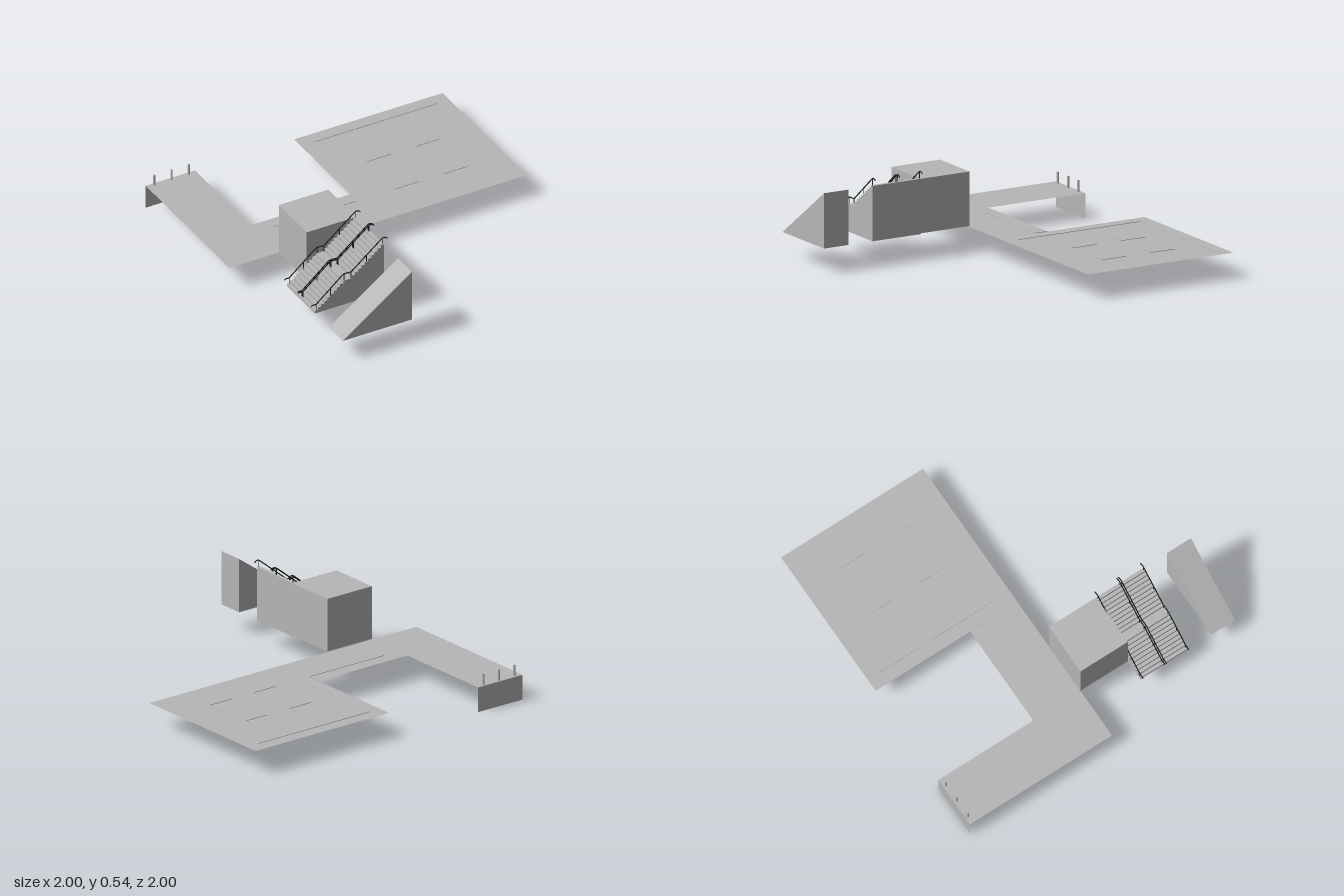
import * as THREE from 'three';

const grey = new THREE.MeshStandardMaterial({ color: 0xb6b6b6, side: THREE.DoubleSide });
grey.name = 'concreteGrey';
const dark = new THREE.MeshStandardMaterial({ color: 0x1c221c });
dark.name = 'railDark';

const GROUND = 0.155, TOP = 0.49;
const FOOT = -0.8, HEAD = -0.333;

function add(parent, name, geometry, material, x = 0, y = 0, z = 0) {
  const mesh = new THREE.Mesh(geometry, material);
  mesh.name = name;
  mesh.position.set(x, y, z);
  parent.add(mesh);
  return mesh;
}

const toShape = (points) => new THREE.Shape(points.map(([x, y]) => new THREE.Vector2(x, y)));
const extrude = (points, depth) => new THREE.ExtrudeGeometry(toShape(points), { depth, bevelEnabled: false });

// Low upright fins following a path of [x, z] points on the paving
function addFins(parent, name, path) {
  for (let i = 1; i < path.length; i++) {
    const [x0, z0] = path[i - 1], [x1, z1] = path[i];
    const w = Math.abs(x1 - x0) || 0.002, d = Math.abs(z1 - z0) || 0.002;
    add(parent, name, new THREE.BoxGeometry(w, 0.006, d), grey, (x0 + x1) / 2, GROUND, (z0 + z1) / 2);
  }
}

// Stair outline: two flights of ten risers with a landing between
function stairOutline() {
  const points = [[HEAD, GROUND], [FOOT, GROUND]];
  const rise = (TOP - GROUND) / 20;
  let y = GROUND;
  const flight = (start, tread) => {
    for (let i = 0; i < 10; i++) {
      const x = start + i * tread;
      if (i > 0 || start > FOOT) points.push([x, y]);
      y += rise;
      points.push([x, y]);
    }
  };
  flight(FOOT, 0.0213);
  flight(-0.55, 0.0217);
  points.push([HEAD, TOP]);
  return points;
}

export function createModel() {
  const model = new THREE.Group();
  model.name = 'plazaWithStairs';

  // Flat paving: square, bridge and side strip in one sheet
  const outline = [[-1, 0], [1, 0], [1, 1], [0, 1], [0, 0.333], [-0.667, 0.333], [-0.667, 1], [-1, 1]];
  const paving = new THREE.ShapeGeometry(toShape(outline)).rotateX(-Math.PI / 2);
  add(model, 'paving', paving, grey, 0, GROUND, 0);

  // Drop wall below the end of the side strip
  const wall = new THREE.PlaneGeometry(0.333, GROUND).rotateY(Math.PI);
  add(model, 'dropWall', wall, grey, -0.8335, GROUND / 2, -1);

  // Bollards along the drop
  for (const x of [-0.952, -0.835, -0.72]) {
    add(model, 'bollard', new THREE.CylinderGeometry(0.007, 0.007, 0.07, 10), grey, x, GROUND + 0.035, -0.983);
  }

  // Fins on the square and the bridge
  const fins = new THREE.Group();
  fins.name = 'pavingFins';
  model.add(fins);
  addFins(fins, 'borderFin', [[0.083, -0.083], [0.083, -0.917], [0.917, -0.917]]);
  addFins(fins, 'bridgeFin', [[0, -0.333], [0, -0.25], [-0.56, -0.25]]);
  for (const x of [0.417, 0.75]) {
    for (const z of [-0.25, -0.583]) {
      addFins(fins, 'cornerFin', [[x - 0.167, z], [x, z], [x, z - 0.167]]);
    }
  }

  // Raised block, open underneath
  const block = new THREE.BoxGeometry(0.334, 0.33, 0.333);
  const index = Array.from(block.index.array);
  index.splice(18, 6);
  block.setIndex(index);
  block.clearGroups();
  add(model, 'raisedBlock', block, grey, -0.5, 0.325, 0.1665);

  // Stairs beside the block
  add(model, 'stairs', extrude(stairOutline(), 0.333), grey, 0, 0, 0.333);

  // Detached ramp
  const wedge = [[FOOT, GROUND], [HEAD, GROUND], [HEAD, TOP]];
  add(model, 'ramp', extrude(wedge, 0.167), grey, 0, 0, 0.833);

  // Handrails with posts: one at each side, a pair in the middle
  const railPath = [
    [-0.82, 0.208], [-0.812, 0.213], [-0.787, 0.213], [-0.605, 0.365], [-0.552, 0.365],
    [-0.35, 0.528], [-0.338, 0.535], [-0.32, 0.533], [-0.311, 0.523],
  ];
  const posts = [[-0.787, 0.213], [-0.692, 0.292], [-0.6, 0.365], [-0.553, 0.365], [-0.448, 0.449], [-0.343, 0.532]];
  for (const z of [0.338, 0.492, 0.504, 0.66]) {
    const rail = new THREE.Group();
    rail.name = 'handrail';
    rail.position.z = z;
    model.add(rail);
    const curve = new THREE.CatmullRomCurve3(
      railPath.map(([x, y]) => new THREE.Vector3(x, y, 0)), false, 'catmullrom', 0.05);
    add(rail, 'railBar', new THREE.TubeGeometry(curve, 80, 0.0035, 6), dark);
    for (const [x, y] of posts) {
      add(rail, 'railPost', new THREE.CylinderGeometry(0.0025, 0.0025, 0.055, 6), dark, x, y - 0.0275, 0);
    }
  }
  return model;
}
